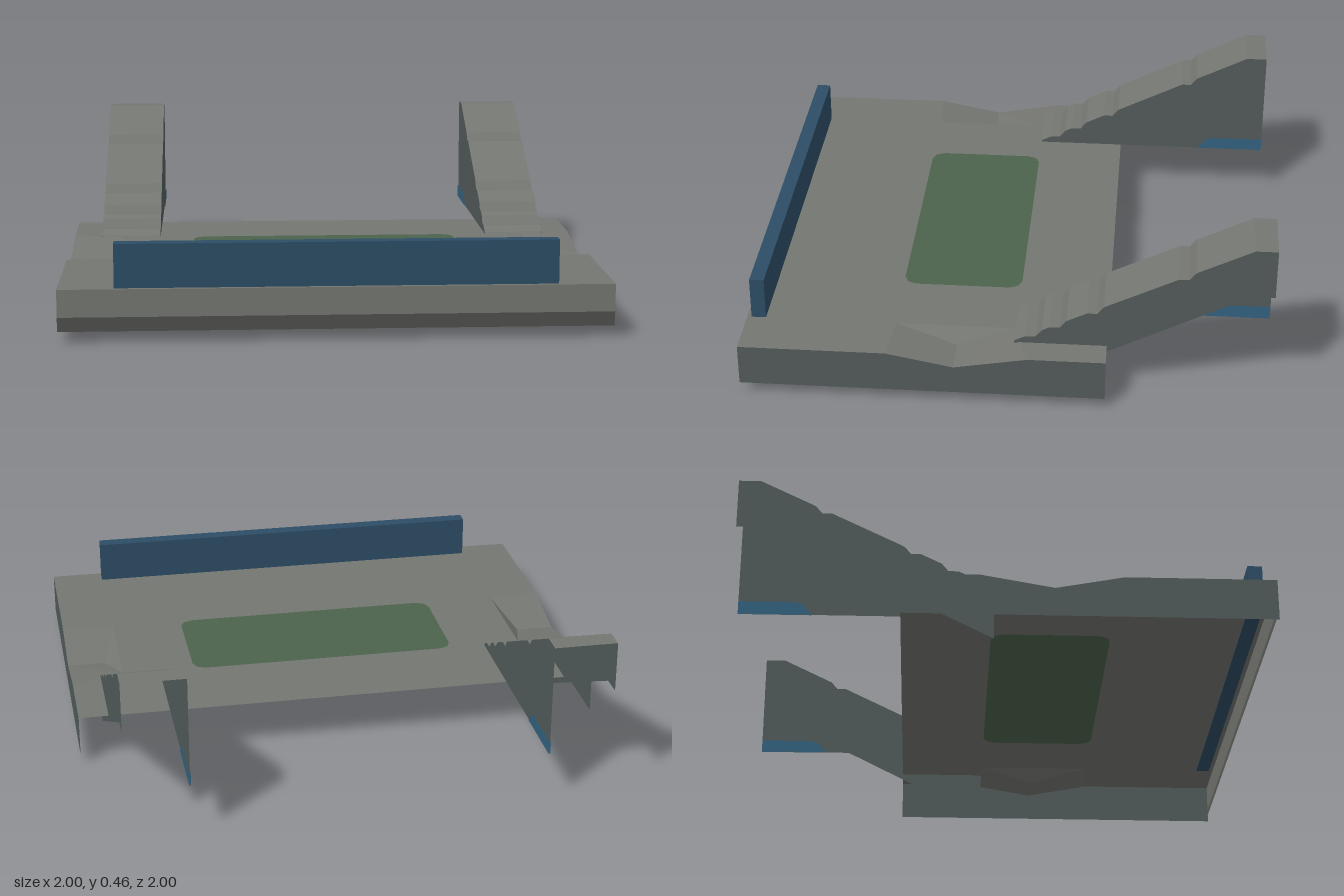
import * as THREE from 'three';

const mat = (name, color) => {
  const m = new THREE.MeshStandardMaterial({ color, side: THREE.DoubleSide, flatShading: true });
  m.name = name;
  return m;
};

export function createModel() {
  const deckGrey = mat('deck grey', 0x747671);
  const sideGrey = mat('side grey', 0x525b5a);
  const lowerGrey = mat('lower edge grey', 0x565854);
  const green = mat('panel green', 0x4c634c);
  const blue = mat('barrier blue', 0x2d4d65);
  const patchBlue = mat('patch blue', 0x33627f);

  const root = new THREE.Group();
  root.name = 'platform';
  const add = (name, geometry, material, parent = root) => {
    const m = new THREE.Mesh(geometry, material);
    m.name = name;
    parent.add(m);
    return m;
  };
  const shapeOf = (pts) => new THREE.Shape(pts.map(([a, b]) => new THREE.Vector2(a, b)));
  // Upright plate in the (z, y) plane at a given x
  const upright = (pts, x) => new THREE.ShapeGeometry(shapeOf(pts)).rotateY(-Math.PI / 2).translate(x, 0, 0);
  // Level plate from an (x, -z) shape
  const level = (shape, y) => new THREE.ShapeGeometry(shape).rotateX(-Math.PI / 2).translate(0, y, 0);
  // Band swept in x along a (z, y) profile that runs toward +z
  const band = (profile, x0, x1) => {
    const pos = [];
    for (let i = 0; i < profile.length - 1; i++) {
      const [z0, y0] = profile[i], [z1, y1] = profile[i + 1];
      pos.push(x0, y0, z0, x0, y1, z1, x1, y1, z1, x0, y0, z0, x1, y1, z1, x1, y0, z0);
    }
    return triangles(pos);
  };
  const triangles = (pos) => {
    const g = new THREE.BufferGeometry();
    g.setAttribute('position', new THREE.Float32BufferAttribute(pos, 3));
    g.computeVertexNormals();
    return g;
  };

  const W = 0.74, BACK = -0.32, FRONT = 0.67, TOP = 0.145, LOW = 0.03;

  // Deck with grooved ends and an opening for the green panel
  const half = [[W, BACK], [W, -0.11], [0.59, -0.064], [0.59, 0.258], [W, 0.27], [W, FRONT]];
  const outline = [...half, ...half.map(([x, z]) => [-x, z]).reverse()];
  const deck = shapeOf(outline.map(([x, z]) => [x, -z]));
  const px = 0.385, z0 = -0.07, z1 = 0.262, c = 0.035;
  const panel = [
    [px - c, z0], [px - c * 0.3, z0 + c * 0.3], [px, z0 + c], [px, z1 - c], [px - c * 0.3, z1 - c * 0.3], [px - c, z1],
    [c - px, z1], [c * 0.3 - px, z1 - c * 0.3], [-px, z1 - c], [-px, z0 + c], [c * 0.3 - px, z0 + c * 0.3], [c - px, z0],
  ].map(([x, z]) => [x, -z]);
  deck.holes.push(new THREE.Path(panel.map(([a, b]) => new THREE.Vector2(a, b))));
  add('deck', level(deck, TOP), deckGrey);
  add('greenPanel', level(shapeOf(panel), TOP), green);

  // Front edge in two bands, open at the back and below
  add('frontEdge', band([[FRONT, TOP], [FRONT, 0.07]], -W, W), deckGrey);
  add('frontLowerEdge', band([[FRONT, 0.07], [FRONT - 0.008, LOW]], -W, W), lowerGrey);

  // Blue barrier along the front
  add('barrier', new THREE.BoxGeometry(1.18, 0.12, 0.04).translate(0, 0.204, 0.638), blue);

  // Ramp surface profile with shallow notches
  const rampY = (z) => 0.46 - (z + 0.7) * 0.31 / 0.63;
  const rampProfile = [[-0.76, 0.46], [-0.7, 0.46]];
  for (const z of [-0.55, -0.31, -0.21, -0.145]) {
    rampProfile.push([z, rampY(z)], [z + 0.018, rampY(z) - 0.022], [z + 0.045, rampY(z + 0.045)]);
  }
  rampProfile.push([-0.07, 0.15]);

  for (const s of [-1, 1]) {
    const end = new THREE.Group();
    end.name = s > 0 ? 'leftEnd' : 'rightEnd';
    root.add(end);

    // End wall with a dip
    add('endWall', upright([[BACK, LOW], [FRONT, LOW], [FRONT, TOP], [0.27, TOP],
      [0.087, 0.11], [-0.11, TOP], [BACK, TOP]], s * W), sideGrey, end);

    // Groove running into the deck from the dip
    const A = [0.59, TOP, -0.064], B = [0.59, TOP, 0.258], C = [0.631, 0.11, 0.087];
    const D = [W, 0.11, 0.087], E = [W, TOP, -0.11], F = [W, TOP, 0.27];
    let faces = [[A, B, C], [A, C, D], [A, D, E], [B, D, C], [B, F, D]];
    if (s < 0) faces = faces.map((f) => f.map(([x, y, z]) => [-x, y, z]).reverse());
    add('groove', triangles(faces.flat(2)), deckGrey, end);

    // Ramp: sloped top, full inner side, sloping outer side
    const inner = s * 0.485, outer = s * 0.657;
    add('rampTop', band(rampProfile, Math.min(inner, outer), Math.max(inner, outer)), deckGrey, end);
    add('rampInnerSide', upright([[-0.76, TOP], [-0.07, TOP], ...rampProfile.slice().reverse()], inner), sideGrey, end);
    add('rampOuterSide', upright([[-0.76, 0.32], [-0.7, 0.32], [-0.07, 0], ...rampProfile.slice().reverse()],
      outer), sideGrey, end);

    // Blue patch on both faces of the inner side
    for (const d of [-0.002, 0.002]) {
      add('rampPatch', upright([[-0.76, TOP], [-0.56, TOP], [-0.585, 0.175], [-0.61, 0.182], [-0.76, 0.182]],
        inner + d), patchBlue, end);
    }
  }

  root.rotation.y = Math.PI / 4;
  const model = new THREE.Group();
  model.name = 'model';
  model.add(root);
  return model;
}
